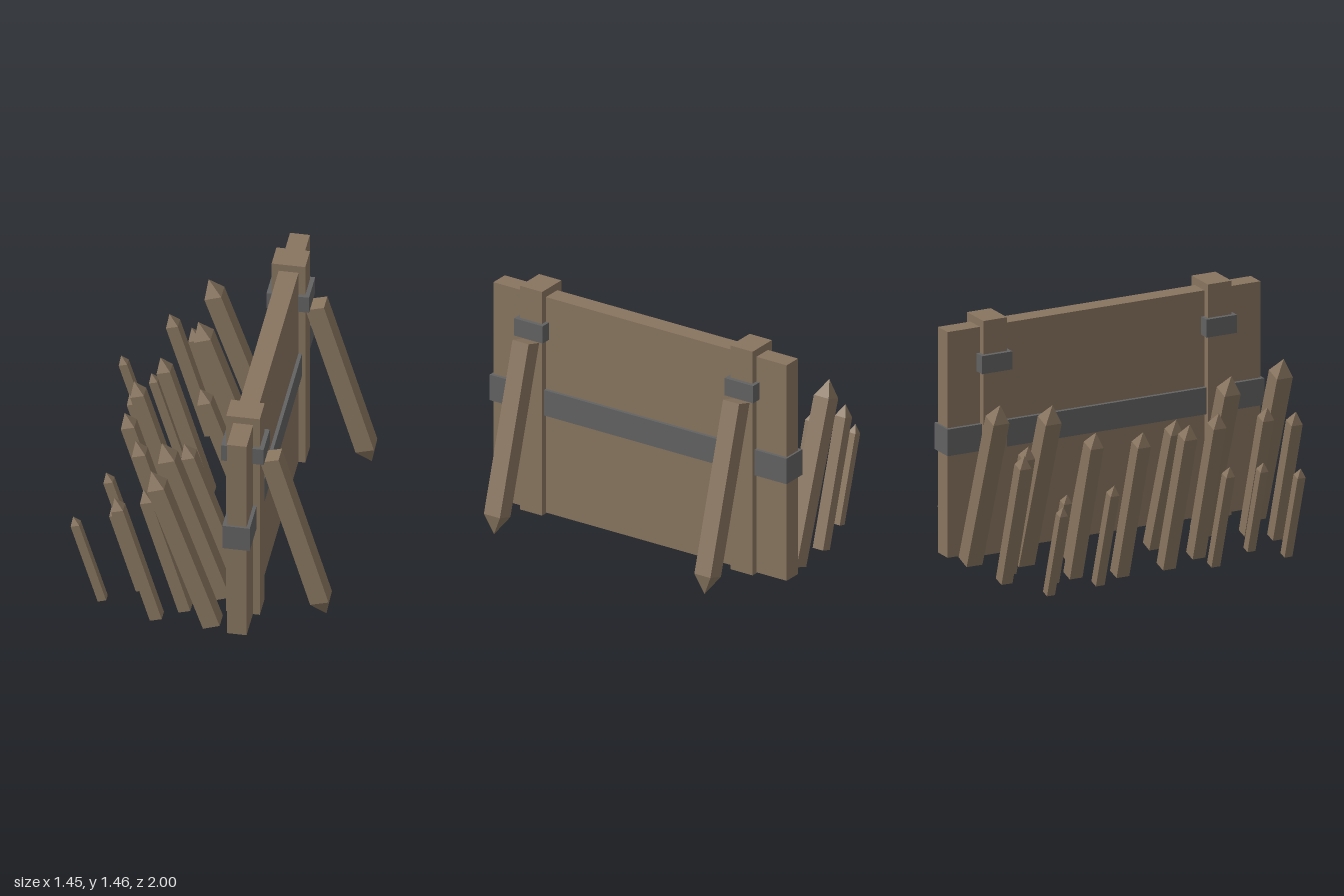
import * as THREE from 'three';
import { mergeGeometries } from 'three/addons/utils/BufferGeometryUtils.js';

const wood = new THREE.MeshStandardMaterial({ color: 0x88755f });
wood.name = 'wood';
const iron = new THREE.MeshStandardMaterial({ color: 0x626262 });
iron.name = 'iron';

// Box given by its x and y limits, centre z and depth
function block(name, material, x0, x1, y0, y1, z, depth) {
  const mesh = new THREE.Mesh(new THREE.BoxGeometry(x1 - x0, y1 - y0, depth), material);
  mesh.position.set((x0 + x1) / 2, (y0 + y1) / 2, z);
  mesh.name = name;
  return mesh;
}

// Square beam from base to shoulder, ending in a pyramid point
function stake(name, width, base, shoulder, z) {
  const from = new THREE.Vector3(base[0], base[1], z);
  const axis = new THREE.Vector3(shoulder[0], shoulder[1], z).sub(from);
  const length = axis.length();
  const shaft = new THREE.BoxGeometry(width, length, width).translate(0, length / 2, 0);
  const point = new THREE.ConeGeometry(width * Math.SQRT1_2, width, 4, 1, true)
    .rotateY(Math.PI / 4)
    .translate(0, length + width / 2, 0);
  const geometry = mergeGeometries([shaft, point]).toNonIndexed();
  geometry.computeVertexNormals();
  const mesh = new THREE.Mesh(geometry, wood);
  mesh.position.copy(from);
  mesh.rotation.z = -Math.atan2(axis.x, axis.y);
  mesh.name = name;
  return mesh;
}

// Leaning stakes: width, base [x, y], shoulder [x, y], distance from the middle
const stakes = [
  [0.10, [0.095, 0.105], [-0.22, 1.015], 0.895],
  [0.10, [0.095, 0.055], [-0.22, 0.965], 0.565],
  [0.08, [0.097, 0.022], [-0.157, 0.757], 0.255],
  [0.07, [-0.085, 0.073], [-0.303, 0.80], 0.755],
  [0.08, [-0.163, 0.02], [-0.41, 0.842], 0.388],
  [0.08, [-0.263, 0.02], [-0.515, 0.842], 0.147],
  [0.07, [-0.228, 0.073], [-0.447, 0.80], 0.857],
  [0.055, [-0.414, 0.037], [-0.588, 0.605], 0.365],
  [0.05, [-0.361, 0.072], [-0.512, 0.575], 0.62],
  [0.05, [-0.553, 0.074], [-0.706, 0.575], 0.75],
];

export function createModel() {
  const model = new THREE.Group();
  model.name = 'stakeBarricade';

  // Plank wall with an iron band around it
  model.add(block('wall', wood, 0.19, 0.302, 0.11, 1.425, 0, 1.975));
  model.add(block('wallBand', iron, 0.167, 0.322, 0.71, 0.865, 0, 2));

  for (const side of [1, -1]) {
    // Upright post, iron clamp and slanted brace
    model.add(block('post', wood, 0.15, 0.34, 0.105, 1.47, side * 0.709, 0.15));
    model.add(block('postClamp', iron, 0.125, 0.365, 1.17, 1.275, side * 0.709, 0.192));
    model.add(stake('brace', 0.108, [0.39, 1.168], [0.672, 0.212], side * 0.709));

    // Field of sharpened stakes behind the wall
    for (const [width, base, shoulder, z] of stakes) {
      model.add(stake('stake', width, base, shoulder, side * z));
    }
  }
  return model;
}
